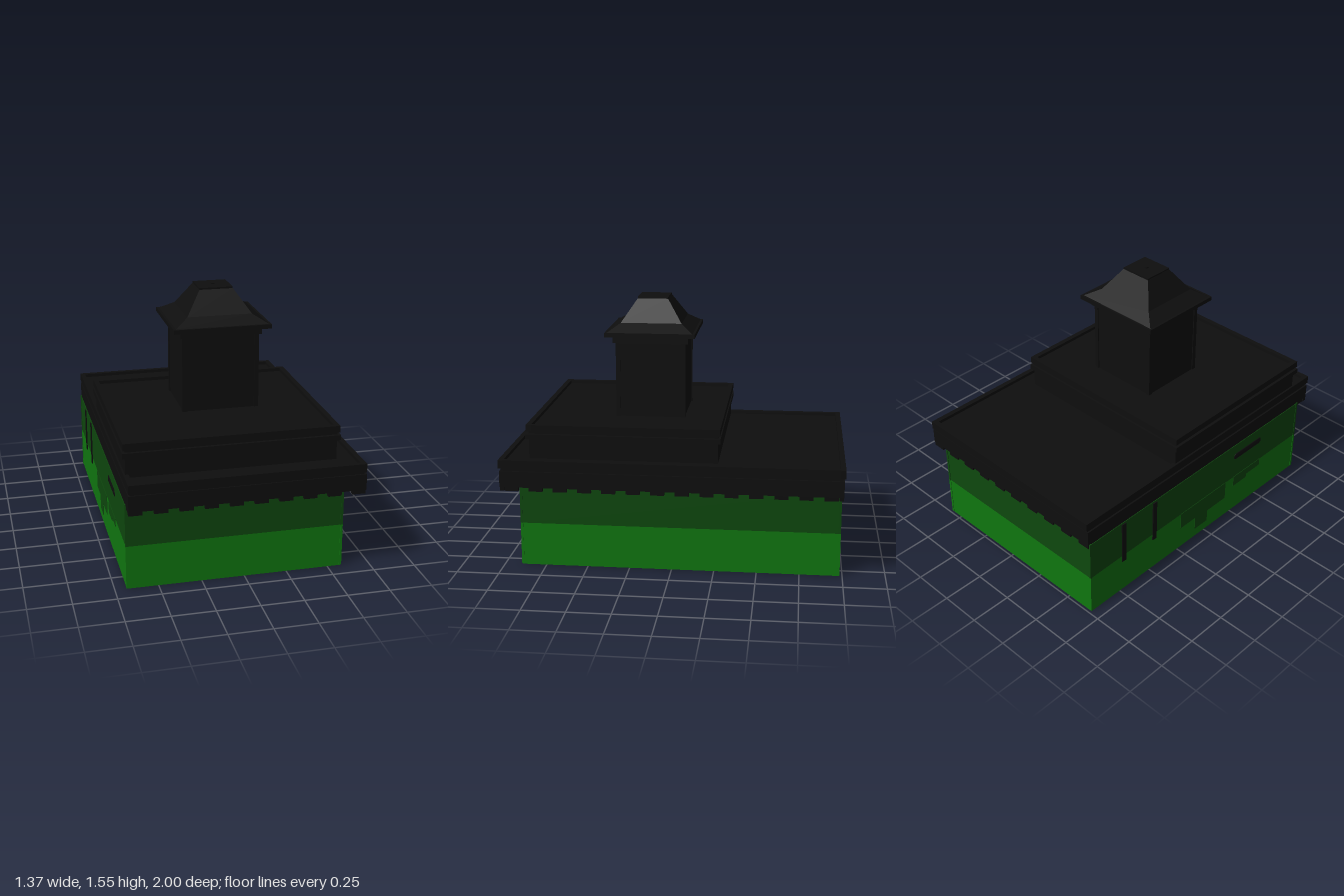
import * as THREE from 'three';

const mat = (name, color) => {
  const m = new THREE.MeshStandardMaterial({ color });
  m.name = name;
  return m;
};

export function createModel() {
  const black = mat('roof black', 0x0e0e0e);
  const green = mat('lower wall green', 0x107710);
  const darkGreen = mat('upper wall green', 0x0e480e);
  const model = new THREE.Group();

  // Box given by its limits on each axis
  const box = (name, m, x0, x1, y0, y1, z0, z1, parent = model) => {
    const mesh = new THREE.Mesh(new THREE.BoxGeometry(x1 - x0, y1 - y0, z1 - z0), m);
    mesh.position.set((x0 + x1) / 2, (y0 + y1) / 2, (z0 + z1) / 2);
    mesh.name = name;
    parent.add(mesh);
    return mesh;
  };
  const group = (name) => {
    const g = new THREE.Group();
    g.name = name;
    model.add(g);
    return g;
  };

  // Four thin walls around a rectangle
  const ring = (name, m, x0, x1, y0, y1, z0, z1, t) => {
    const g = group(name);
    box(name + 'Front', m, x0, x1, y0, y1, z1 - t, z1, g);
    box(name + 'Back', m, x0, x1, y0, y1, z0, z0 + t, g);
    box(name + 'Right', m, x0, x0 + t, y0, y1, z0 + t, z1 - t, g);
    box(name + 'Left', m, x1 - t, x1, y0, y1, z0 + t, z1 - t, g);
  };

  // Shop walls in two bands, open below
  const W = [-0.682, 0.582, -0.982, 0.896];
  ring('lowerWall', green, W[0], W[1], 0, 0.26, W[2], W[3], 0.008);
  ring('upperWall', darkGreen, W[0], W[1], 0.26, 0.51, W[2], W[3], 0.008);

  // Slim corner boards
  const corners = group('cornerBoards');
  for (const x of [W[0], W[1]]) for (const z of [W[2], W[3]]) {
    const cx = x + (x < 0 ? 0.004 : -0.004), cz = z + (z < 0 ? 0.004 : -0.004);
    box('cornerBoardLower', green, cx - 0.007, cx + 0.007, 0.006, 0.26, cz - 0.007, cz + 0.007, corners);
    box('cornerBoardUpper', darkGreen, cx - 0.007, cx + 0.007, 0.26, 0.515, cz - 0.007, cz + 0.007, corners);
  }

  // Details on the blind side wall
  const details = group('sideWallDetails');
  for (const z of [-0.715, -0.457])
    box('sidePost', black, -0.688, -0.668, 0.22, 0.5, z - 0.016, z + 0.016, details);
  const patches = [
    [-0.22, -0.087, 0.15], [-0.087, 0.026, 0.06], [0.026, 0.195, 0.14], [0.273, 0.4, 0.19], [0.4, 0.53, 0.215],
  ];
  for (const [z0, z1, y] of patches)
    box('sidePatch', darkGreen, -0.685, -0.681, y, 0.262, z0, z1, details);
  const stroke = new THREE.Mesh(new THREE.CapsuleGeometry(0.022, 0.22, 4, 8), black);
  stroke.name = 'sideBar';
  stroke.rotation.x = Math.PI / 2;
  stroke.scale.x = 0.2;
  stroke.position.set(-0.682, 0.42, 0.4);
  details.add(stroke);

  // Main flat roof with stepped cornice and low parapet
  box('roofBody', black, -0.668, 0.668, 0.51, 0.65, -0.985, 0.985);
  box('roofCornice', black, -0.678, 0.682, 0.51, 0.605, -0.993, 0.993);
  ring('roofParapet', black, -0.678, 0.678, 0.62, 0.67, -1, 1, 0.03);

  // Dentils under the cornice on all sides
  const dentils = group('dentils');
  for (let i = 0; i < 10; i++) {
    const x = -0.639 + i * 0.142;
    for (const z of [-0.98, 0.98])
      box('dentil', black, x - 0.039, x + 0.039, 0.488, 0.511, z - 0.012, z + 0.012, dentils);
  }
  for (let i = 0; i < 14; i++) {
    const z = -0.923 + i * 0.142;
    for (const x of [-0.664, 0.67])
      box('dentil', black, x - 0.011, x + 0.011, 0.488, 0.511, z - 0.04, z + 0.04, dentils);
  }

  // Raised upper tier
  box('tierBody', black, -0.667, 0.55, 0.64, 0.835, -0.268, 0.842);
  box('tierMoulding', black, -0.684, 0.567, 0.77, 0.8, -0.283, 0.86);
  ring('tierParapet', black, -0.68, 0.563, 0.815, 0.855, -0.28, 0.856, 0.03);

  // Tower with corner boards and cornice
  const cx = -0.015, cz = 0.165;
  const around = (name, m, hx, hz, y0, y1) => box(name, m, cx - hx, cx + hx, y0, y1, cz - hz, cz + hz);
  around('towerBody', black, 0.224, 0.204, 0.83, 1.3);
  for (const sx of [-1, 1]) for (const sz of [-1, 1]) {
    const x = cx + sx * 0.217, z = cz + sz * 0.197;
    box('towerCornerBoard', black, x - 0.013, x + 0.013, 0.83, 1.29, z - 0.013, z + 0.013);
  }
  around('towerCornice', black, 0.242, 0.225, 1.285, 1.33);
  around('towerEave', black, 0.289, 0.27, 1.327, 1.352);

  // Flared hip roof: tapered boxes stacked
  const taper = (name, a, b, y0, y1) => {
    const geo = new THREE.BoxGeometry(2, y1 - y0, 2);
    const p = geo.attributes.position;
    for (let i = 0; i < p.count; i++) {
      const [hx, hz] = p.getY(i) > 0 ? b : a;
      p.setXYZ(i, p.getX(i) * hx, p.getY(i), p.getZ(i) * hz);
    }
    geo.computeVertexNormals();
    const mesh = new THREE.Mesh(geo, black);
    mesh.name = name;
    mesh.position.set(cx, (y0 + y1) / 2, cz);
    model.add(mesh);
  };
  taper('towerRoofFlare', [0.275, 0.256], [0.192, 0.183], 1.352, 1.4);
  taper('towerRoofSlope', [0.192, 0.183], [0.1, 0.092], 1.4, 1.535);
  around('towerRoofCap', black, 0.099, 0.092, 1.53, 1.545);
  around('finial', black, 0.009, 0.009, 1.54, 1.552);

  return model;
}
